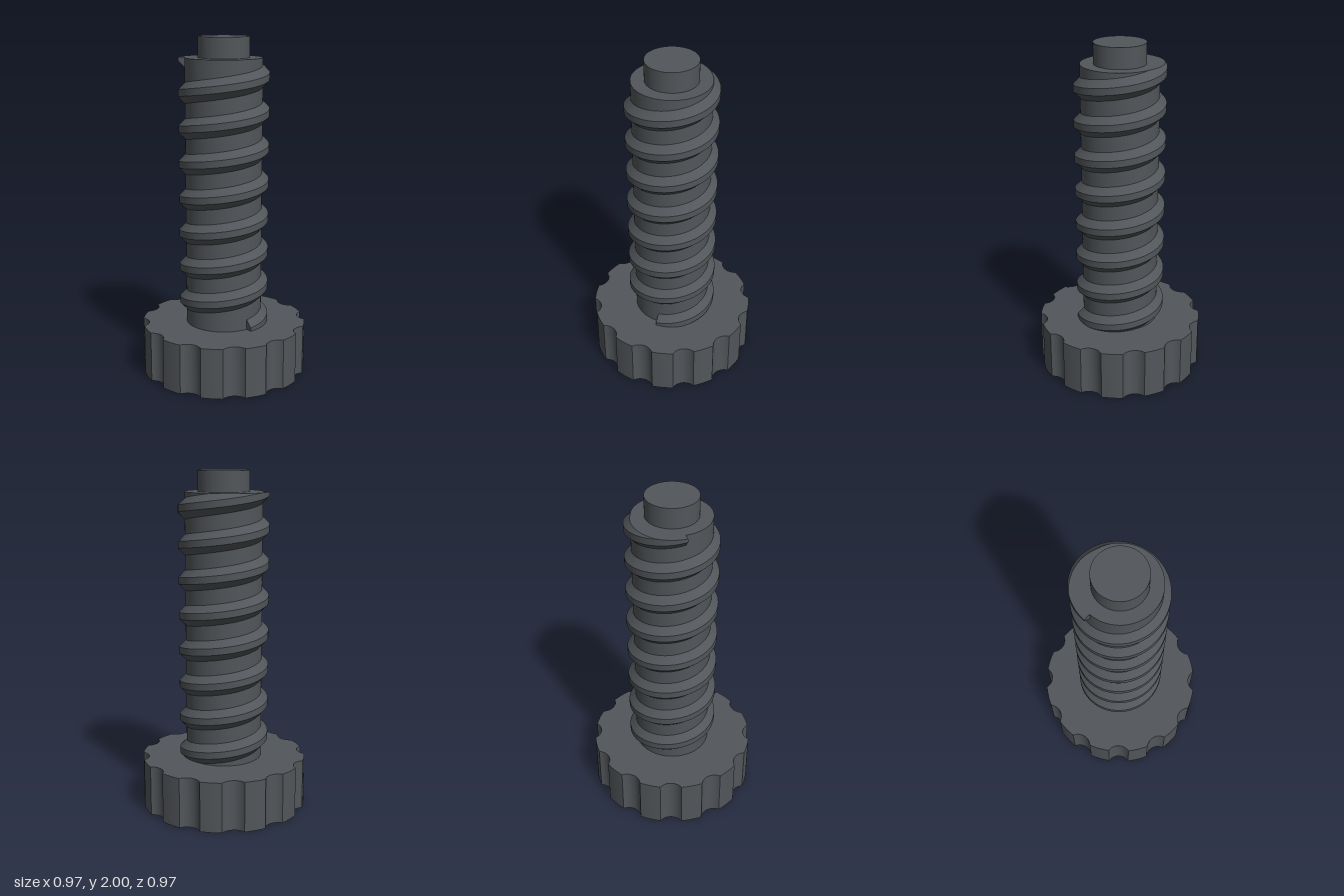
import * as THREE from 'three';
import { toCreasedNormals } from 'three/addons/utils/BufferGeometryUtils.js';

const KNOB_TOP = 0.3, SHAFT_TOP = 1.88, SHAFT_R = 0.225, CREST_R = 0.264;
const STEPS = 96; // segments per turn

// Round knob with twelve scalloped finger grips
function knobGeometry() {
  const R = 0.49, gripR = 0.079, gripD = 0.532, count = 12;
  const half = Math.acos((R * R + gripD * gripD - gripR * gripR) / (2 * R * gripD));
  const sweep = Math.atan2(R * Math.sin(half), gripD - R * Math.cos(half));
  const pts = [];
  for (let i = 0; i < count; i++) {
    const a = (i * Math.PI * 2) / count;
    const cx = gripD * Math.cos(a), cy = gripD * Math.sin(a);
    for (let j = 0; j <= 12; j++) { // concave grip
      const t = a + Math.PI + sweep * (1 - j / 6);
      pts.push(new THREE.Vector2(cx + gripR * Math.cos(t), cy + gripR * Math.sin(t)));
    }
    for (let j = 1; j < 6; j++) { // outer rim between grips
      const t = a + half + (Math.PI * 2 / count - 2 * half) * (j / 6);
      pts.push(new THREE.Vector2(R * Math.cos(t), R * Math.sin(t)));
    }
  }
  const geo = new THREE.ExtrudeGeometry(new THREE.Shape(pts), { depth: KNOB_TOP, bevelEnabled: false });
  geo.rotateX(-Math.PI / 2);
  return toCreasedNormals(geo, 0.5);
}

// Helical trapezoid ridge, cut flat where it passes the top of the shaft
function threadGeometry() {
  const pitch = 0.2069, rootHalf = 0.06, crestHalf = 0.02;
  const turns = (SHAFT_TOP - KNOB_TOP) / pitch;
  const n = Math.ceil(turns * STEPS);
  const section = (i) => {
    const turn = Math.min(i / STEPS, turns);
    const c = KNOB_TOP + pitch * turn, a = turn * Math.PI * 2;
    const top = Math.min(c + rootHalf, SHAFT_TOP);
    const k = Math.min((c + rootHalf - top) / (rootHalf - crestHalf), 1);
    const cutR = SHAFT_R + (CREST_R - SHAFT_R) * k;
    return [
      [SHAFT_R, c - rootHalf],
      [CREST_R, c - crestHalf],
      [CREST_R, Math.min(c + crestHalf, SHAFT_TOP)],
      [cutR, top],
      [SHAFT_R, top],
    ].map(([r, y]) => [r * Math.cos(a), y, -r * Math.sin(a)]);
  };
  const pos = [];
  const tri = (...p) => p.forEach((v) => pos.push(...v));
  let prev = section(0);
  const fan = (s, flip) => {
    for (let j = 1; j < 4; j++) flip ? tri(s[0], s[j + 1], s[j]) : tri(s[0], s[j], s[j + 1]);
  };
  fan(prev, false);
  for (let i = 1; i <= n; i++) {
    const next = section(i);
    for (let j = 0; j < 4; j++) {
      tri(prev[j], next[j], next[j + 1]);
      tri(prev[j], next[j + 1], prev[j + 1]);
    }
    prev = next;
  }
  fan(prev, true);
  const geo = new THREE.BufferGeometry();
  geo.setAttribute('position', new THREE.Float32BufferAttribute(pos, 3));
  return toCreasedNormals(geo, 0.5);
}

export function createModel() {
  const group = new THREE.Group();
  group.name = 'thumbScrew';
  const material = new THREE.MeshStandardMaterial({ color: 0x52565a });
  material.name = 'dark grey';
  const threadMaterial = material;
  threadMaterial.side = THREE.DoubleSide;

  const add = (name, geometry, y = 0) => {
    const mesh = new THREE.Mesh(geometry, material);
    mesh.name = name;
    mesh.position.y = y;
    group.add(mesh);
  };
  const cylinder = (r, h) => new THREE.CylinderGeometry(r, r, h, STEPS);

  add('knob', knobGeometry());
  add('shaft', cylinder(SHAFT_R, SHAFT_TOP - KNOB_TOP), (SHAFT_TOP + KNOB_TOP) / 2);
  add('thread', threadGeometry());
  add('tip', cylinder(0.15, 2 - SHAFT_TOP), (2 + SHAFT_TOP) / 2);
  return group;
}
